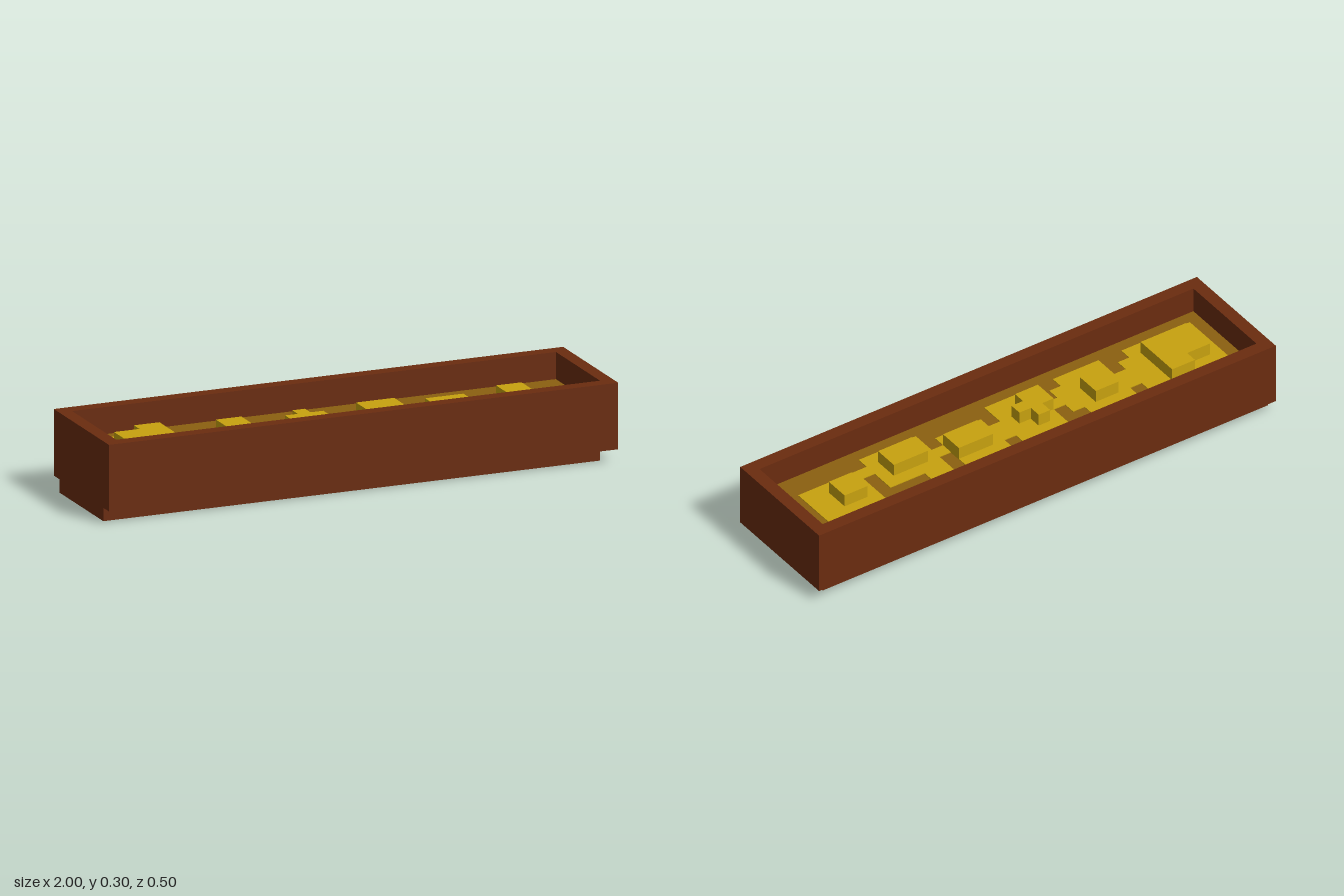
import * as THREE from 'three';

const U = 0.05; // grid step shared by every part

export function createModel() {
  const group = new THREE.Group();
  const mat = (name, color) => {
    const m = new THREE.MeshStandardMaterial({ color });
    m.name = name;
    return m;
  };
  const wood = mat('brown wood', 0x6b2c0f);
  const soil = mat('dark gold', 0x8b6010);
  const gold = mat('gold', 0xc8a20f);

  const add = (name, geometry, material) => {
    const mesh = new THREE.Mesh(geometry, material);
    mesh.name = name;
    group.add(mesh);
    return mesh;
  };

  // box given by its limits
  const box = (name, x0, x1, y0, y1, z0, z1, material) =>
    add(name, new THREE.BoxGeometry(x1 - x0, y1 - y0, z1 - z0), material)
      .position.set((x0 + x1) / 2, (y0 + y1) / 2, (z0 + z1) / 2);

  // grid outline in [x, z] steps, raised from y0 by height
  const slab = (name, outline, y0, height, material) => {
    const shape = new THREE.Shape(outline.map(([x, z]) => new THREE.Vector2(x * U, -z * U)));
    const geometry = new THREE.ExtrudeGeometry(shape, { depth: height, bevelEnabled: false });
    geometry.rotateX(-Math.PI / 2);
    add(name, geometry, material).position.y = y0;
  };
  const rect = (x0, z0, x1, z1) => [[x0, z0], [x1, z0], [x1, z1], [x0, z1]];

  // plinth, set back on three sides
  box('plinth', -1, 0.95, 0, 0.05, -0.2, 0.2, wood);

  // trough walls with an open middle
  const rim = new THREE.Shape(rect(-20, -5, 20, 5).map(([x, z]) => new THREE.Vector2(x * U, z * U)));
  rim.holes.push(new THREE.Path(rect(-19, -4, 19, 4).map(([x, z]) => new THREE.Vector2(x * U, z * U))));
  const walls = new THREE.ExtrudeGeometry(rim, { depth: 0.25, bevelEnabled: false });
  walls.rotateX(-Math.PI / 2);
  add('troughWalls', walls, wood).position.y = 0.05;
  box('troughBottom', -0.95, 0.95, 0.05, 0.1, -0.2, 0.2, wood);

  // filling and the bright patch on it
  box('filling', -0.95, 0.95, 0.1, 0.198, -0.2, 0.2, soil);
  slab('goldPatch', [
    [-18, -2], [-17, -2], [-17, -3], [-12, -3], [-12, -2], [-11, -2], [-11, -1], [-10, -1],
    [-10, -2], [-6, -2], [-6, -1], [-5, -1], [-5, 0], [-4, 0], [-4, -2], [0, -2], [0, -1],
    [1, -1], [1, -2], [5, -2], [5, 0], [6, 0], [6, -2], [8, -2], [8, -1], [11, -1], [11, 1],
    [12, 1], [12, -2], [17, -2], [17, 2], [11, 2], [11, 3], [6, 3], [6, 1], [5, 1], [5, 2],
    [1, 2], [1, 1], [0, 1], [0, 3], [-4, 3], [-4, 1], [-5, 1], [-5, 2], [-6, 2], [-6, 3],
    [-10, 3], [-10, 1], [-11, 1], [-11, 2], [-12, 2], [-12, 3], [-18, 3],
  ], 0.198, 0.003, gold);

  // raised lumps
  [
    [[-15, -2], [-13, -2], [-13, 2], [-17, 2], [-17, -1], [-15, -1]],
    rect(-9, -1, -7, 1),
    [[-3, -1], [-2, -1], [-2, 0], [-1, 0], [-1, 1], [-2, 1], [-2, 2], [-4, 2], [-4, 0], [-3, 0]],
    rect(2, -1, 5, 1),
    rect(7, 0, 10, 2),
    rect(13, -1, 15, 1),
  ].forEach((outline, i) => slab(`goldLump${i + 1}`, outline, 0.2, 0.05, gold));

  return group;
}
